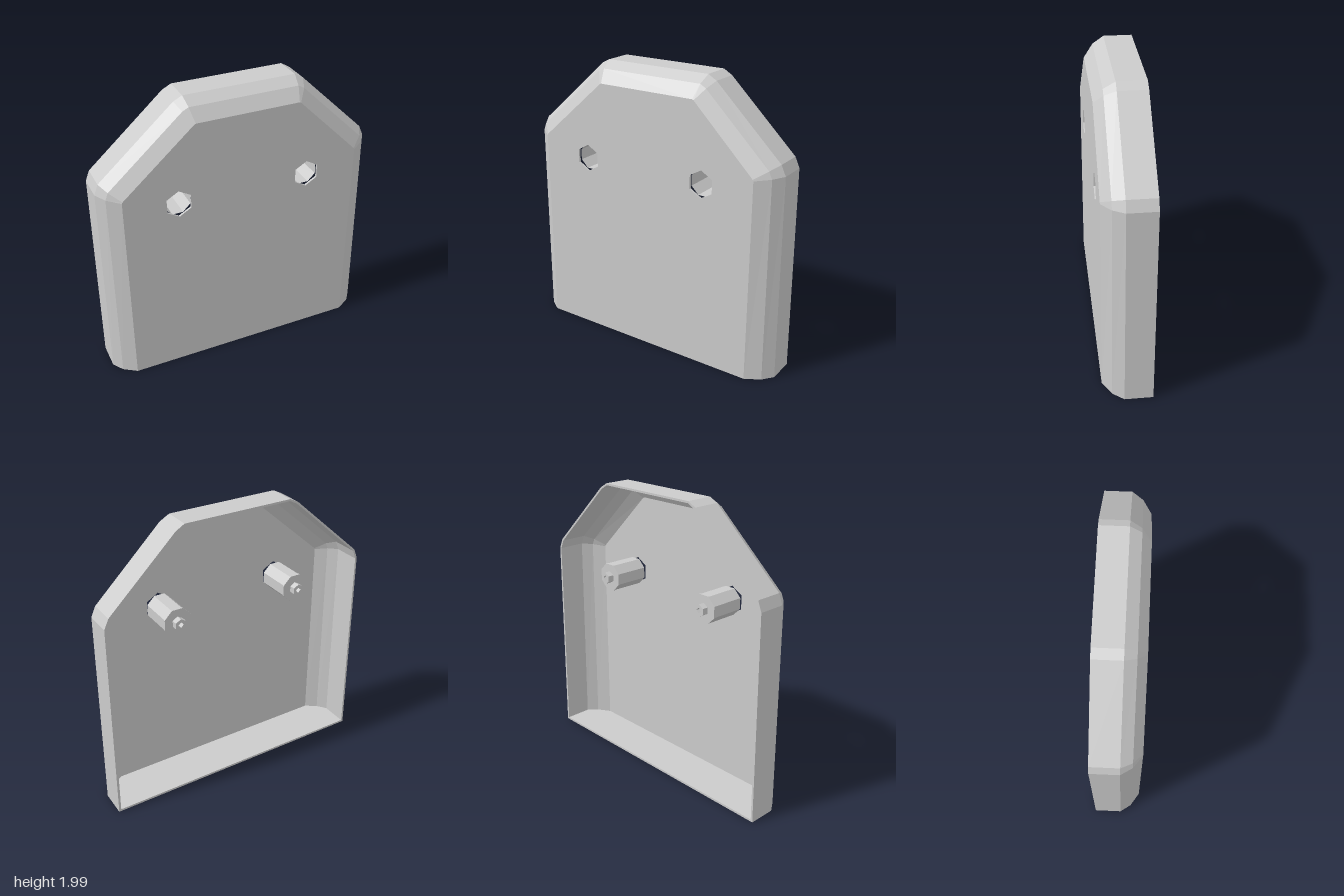
import * as THREE from 'three';

const material = new THREE.MeshStandardMaterial({
  color: 0xcccccc, flatShading: true, side: THREE.DoubleSide,
});

// Wall outline and front-plate outline, matched point for point, from lower right round to lower left.
const OUTER = [[0.975, 0], [0.962, 1.43], [0.93, 1.5], [0.46, 1.95], [0.4, 1.985],
  [-0.37, 1.985], [-0.43, 1.955], [-0.945, 1.5], [-0.972, 1.43], [-0.98, 0]];
const FRONT = [[0.815, 0], [0.815, 1.41], [0.81, 1.42], [0.38, 1.845], [0.37, 1.85],
  [-0.34, 1.85], [-0.35, 1.845], [-0.835, 1.42], [-0.84, 1.41], [-0.84, 0]];
const BACK_Z = -0.17, EDGE_Z = 0.02, FRONT_Z = 0.155, WALL = 0.015;

// Outline blended between wall (t = 0) and plate (t = 1), with its foot lifted by floor.
function ring(t, z, floor = 0) {
  return OUTER.map(([x, y], i) => new THREE.Vector3(
    x + (FRONT[i][0] - x) * t,
    Math.max(floor, y + (FRONT[i][1] - y) * t), z));
}

// Skin joining closed rings one after another.
function loft(rings) {
  const n = rings[0].length, index = [];
  for (let r = 0; r < rings.length - 1; r++) {
    for (let i = 0; i < n; i++) {
      const a = r * n + i, b = r * n + (i + 1) % n;
      index.push(a, b, b + n, a, b + n, a + n);
    }
  }
  const geometry = new THREE.BufferGeometry().setFromPoints(rings.flat());
  geometry.setIndex(index);
  const flat = geometry.toNonIndexed();
  flat.computeVertexNormals();
  return flat;
}

function add(parent, name, geometry, x = 0, y = 0, z = 0) {
  const mesh = new THREE.Mesh(geometry, material);
  mesh.name = name;
  mesh.position.set(x, y, z);
  parent.add(mesh);
  return mesh;
}

function polygonPath(x, y, radius, sides, turn = 0) {
  const points = [];
  for (let i = 0; i < sides; i++) {
    const a = turn + (i / sides) * Math.PI * 2;
    points.push(new THREE.Vector2(x + Math.cos(a) * radius, y + Math.sin(a) * radius));
  }
  return new THREE.Path(points);
}

// Flat polygon with a hole through it, thickened along z.
function piercedPrism(radius, sides, holeRadius, depth) {
  const shape = new THREE.Shape(polygonPath(0, 0, radius, sides, Math.PI / sides).getPoints());
  shape.holes.push(polygonPath(0, 0, holeRadius, 4));
  return new THREE.ExtrudeGeometry(shape, { depth, bevelEnabled: false });
}

export function createModel() {
  const model = new THREE.Group();
  model.name = 'coverShell';

  // Hollow wall with a beveled front edge, folded over the back rim to the inside
  add(model, 'beveledWall', loft([
    ring(1, FRONT_Z), ring(0.36, 0.095), ring(0, EDGE_Z), ring(0, BACK_Z),
    ring(0.1, BACK_Z, WALL), ring(0.1, EDGE_Z, WALL),
    ring(0.45, 0.085, WALL), ring(1, FRONT_Z - WALL, WALL),
  ]));

  // Front plate with two mounting holes
  const holes = [[-0.47, 1.31], [0.445, 1.31]];
  const plate = new THREE.Shape(FRONT.map(([x, y]) => new THREE.Vector2(x, y)));
  holes.forEach(([x, y]) => plate.holes.push(polygonPath(x, y, 0.095, 6, Math.PI / 6)));
  add(model, 'frontPlate',
    new THREE.ExtrudeGeometry(plate, { depth: WALL, bevelEnabled: false }), 0, 0, FRONT_Z - WALL);

  // Screw sockets: open cup, pierced base and a small tubular peg behind
  for (const [x, y] of holes) {
    const socket = new THREE.Group();
    socket.name = x < 0 ? 'rightSocket' : 'leftSocket';
    socket.position.set(x, y, 0);
    model.add(socket);
    const cup = new THREE.CylinderGeometry(0.097, 0.097, 0.24, 8, 1, true);
    cup.rotateX(Math.PI / 2).rotateZ(Math.PI / 8);
    add(socket, 'socketCup', cup, 0, 0, 0);
    add(socket, 'socketBase', piercedPrism(0.1, 8, 0.02, 0.012), 0, 0, -0.125);
    add(socket, 'socketPeg', piercedPrism(0.042, 6, 0.02, 0.045), 0, 0, -0.168);
  }
  return model;
}
